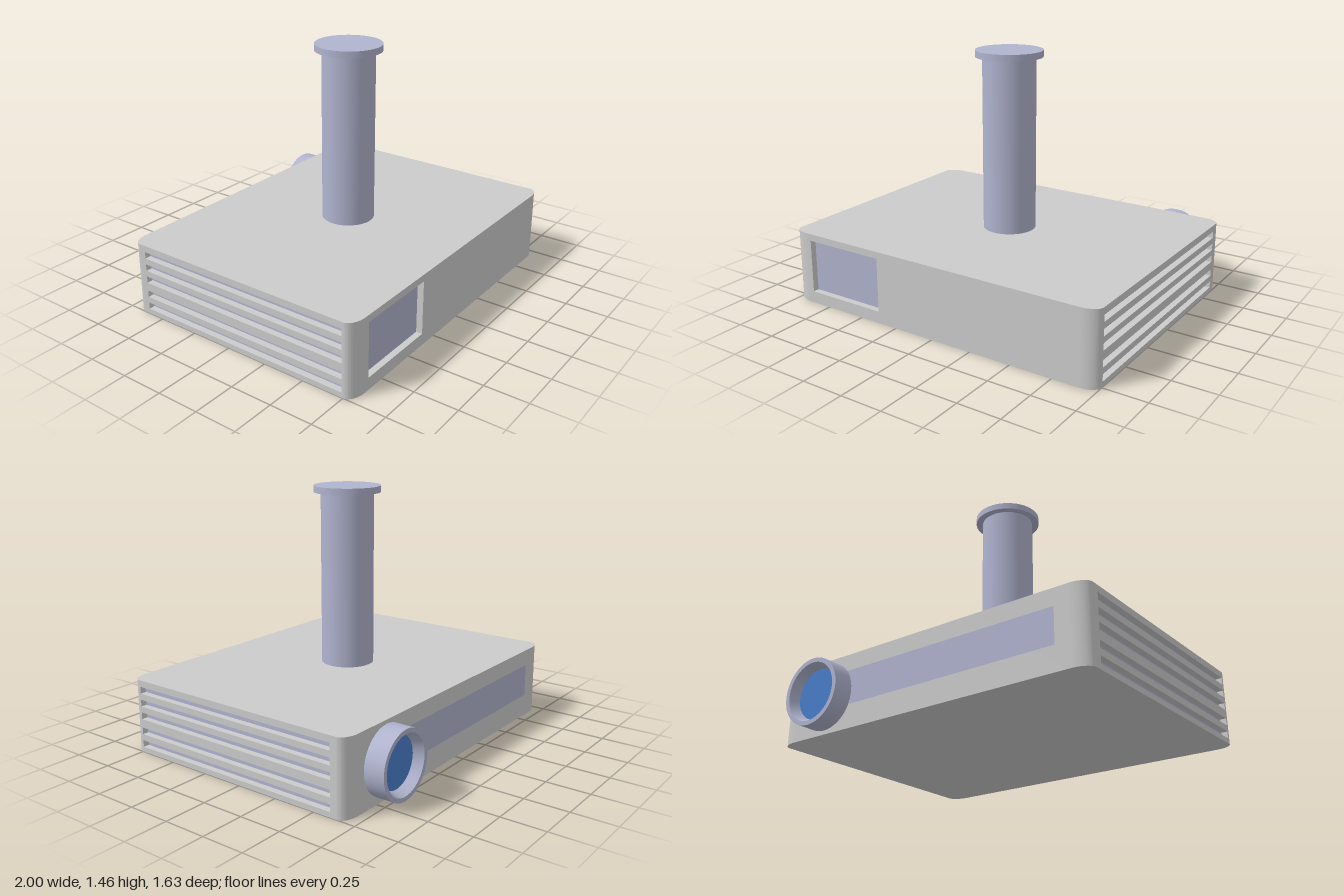
import * as THREE from 'three';
import { toCreasedNormals } from 'three/addons/utils/BufferGeometryUtils.js';

const DEPTH = 0.04; // depth of the recesses
const H = 0.425; // height of the case
const BACK = -0.70, FRONT = 0.81; // z limits of the case
const RX = 0.1, RZ = 0.06; // corner radii

const grey = new THREE.MeshStandardMaterial({ color: 0xcccccc });
const trim = new THREE.MeshStandardMaterial({ color: 0xb0b4ce });
const blue = new THREE.MeshStandardMaterial({ color: 0x4a7ecc });

function add(parent, name, geometry, material, x = 0, y = 0, z = 0) {
  const mesh = new THREE.Mesh(geometry, material);
  mesh.name = name;
  mesh.position.set(x, y, z);
  parent.add(mesh);
  return mesh;
}

function rect(Type, x0, x1, y0, y1) {
  const p = new Type();
  p.moveTo(x0, y0);
  p.lineTo(x1, y0);
  p.lineTo(x1, y1);
  p.lineTo(x0, y1);
  p.closePath();
  return p;
}

// Wall with rectangular openings, closed behind by trim floors; faces +z
function recessedWall(name, x0, x1, openings) {
  const wall = new THREE.Group();
  wall.name = name;
  const shape = rect(THREE.Shape, x0, x1, 0, H);
  for (const o of openings) shape.holes.push(rect(THREE.Path, ...o));
  add(wall, 'wall', new THREE.ExtrudeGeometry(shape, { depth: DEPTH, bevelEnabled: false }), grey);
  for (const [a, b, c, d] of openings) {
    add(wall, 'recessFloor', new THREE.PlaneGeometry(b - a, d - c), trim, (a + b) / 2, (c + d) / 2, 0.003);
  }
  return wall;
}

// Footprint of the case with rounded corners, notched where the walls sit
function caseCore() {
  const s = new THREE.Shape();
  const yf = -FRONT, yb = -BACK;
  const ix = 1 - RX;
  s.moveTo(-ix, yf);
  s.lineTo(-ix, yf + DEPTH);
  s.lineTo(ix, yf + DEPTH);
  s.lineTo(ix, yf);
  s.absellipse(ix, yf + RZ, RX, RZ, -Math.PI / 2, 0, false);
  s.lineTo(1 - DEPTH, yf + RZ);
  s.lineTo(1 - DEPTH, yb - RZ);
  s.lineTo(1, yb - RZ);
  s.absellipse(ix, yb - RZ, RX, RZ, 0, Math.PI / 2, false);
  s.lineTo(-ix, yb);
  s.absellipse(-ix, yb - RZ, RX, RZ, Math.PI / 2, Math.PI, false);
  s.lineTo(-1 + DEPTH, yb - RZ);
  s.lineTo(-1 + DEPTH, yf + RZ);
  s.lineTo(-1, yf + RZ);
  s.absellipse(-ix, yf + RZ, RX, RZ, Math.PI, Math.PI * 1.5, false);
  const g = new THREE.ExtrudeGeometry(s, { depth: H, bevelEnabled: false, curveSegments: 12 });
  g.rotateX(-Math.PI / 2);
  return toCreasedNormals(g, 0.6);
}

export function createModel() {
  const model = new THREE.Group();
  model.name = 'projector';

  // Case
  add(model, 'caseCore', caseCore(), grey);
  const front = recessedWall('frontWall', RX - 1, 1 - RX, [[-0.87, -0.37, 0.07, 0.385]]);
  front.position.z = FRONT - DEPTH;
  model.add(front);

  // Side walls with five vent slots each
  const slots = [0.05, 0.126, 0.216, 0.291, 0.367];
  for (const side of [1, -1]) {
    const mid = -side * (FRONT + BACK) / 2;
    const half = (FRONT - BACK) / 2 - RZ;
    const slotMid = -side * 0.07;
    const wall = recessedWall(side > 0 ? 'leftVents' : 'rightVents', mid - half, mid + half,
      slots.map((y) => [slotMid - 0.673, slotMid + 0.673, y - 0.02, y + 0.02]));
    wall.rotation.y = side * Math.PI / 2;
    wall.position.x = side * (1 - DEPTH);
    model.add(wall);
  }

  // Flush panel across the back
  add(model, 'backPanel', new THREE.PlaneGeometry(1.34, 0.195).rotateY(Math.PI), trim, -0.15, 0.232, BACK - 0.002);

  // Lens barrel with tapered rim, and the glass inside it
  const profile = [[0.19, 0], [0.19, 0.118], [0.165, 0.118], [0.143, 0.06]]
    .map(([r, y]) => new THREE.Vector2(r, y));
  const barrel = toCreasedNormals(new THREE.LatheGeometry(profile, 48), 0.6).rotateX(-Math.PI / 2);
  add(model, 'lensBarrel', barrel, trim, 0.67, 0.213, BACK);
  add(model, 'lensGlass', new THREE.CircleGeometry(0.145, 48).rotateY(Math.PI), blue, 0.67, 0.213, BACK - 0.061);

  // Ceiling mount
  add(model, 'mountPole', new THREE.CylinderGeometry(0.152, 0.152, 1.0, 48), trim, 0, H + 0.5, 0.057);
  add(model, 'mountFlange', new THREE.CylinderGeometry(0.192, 0.192, 0.038, 48), trim, 0, 1.444, 0.057);

  return model;
}
